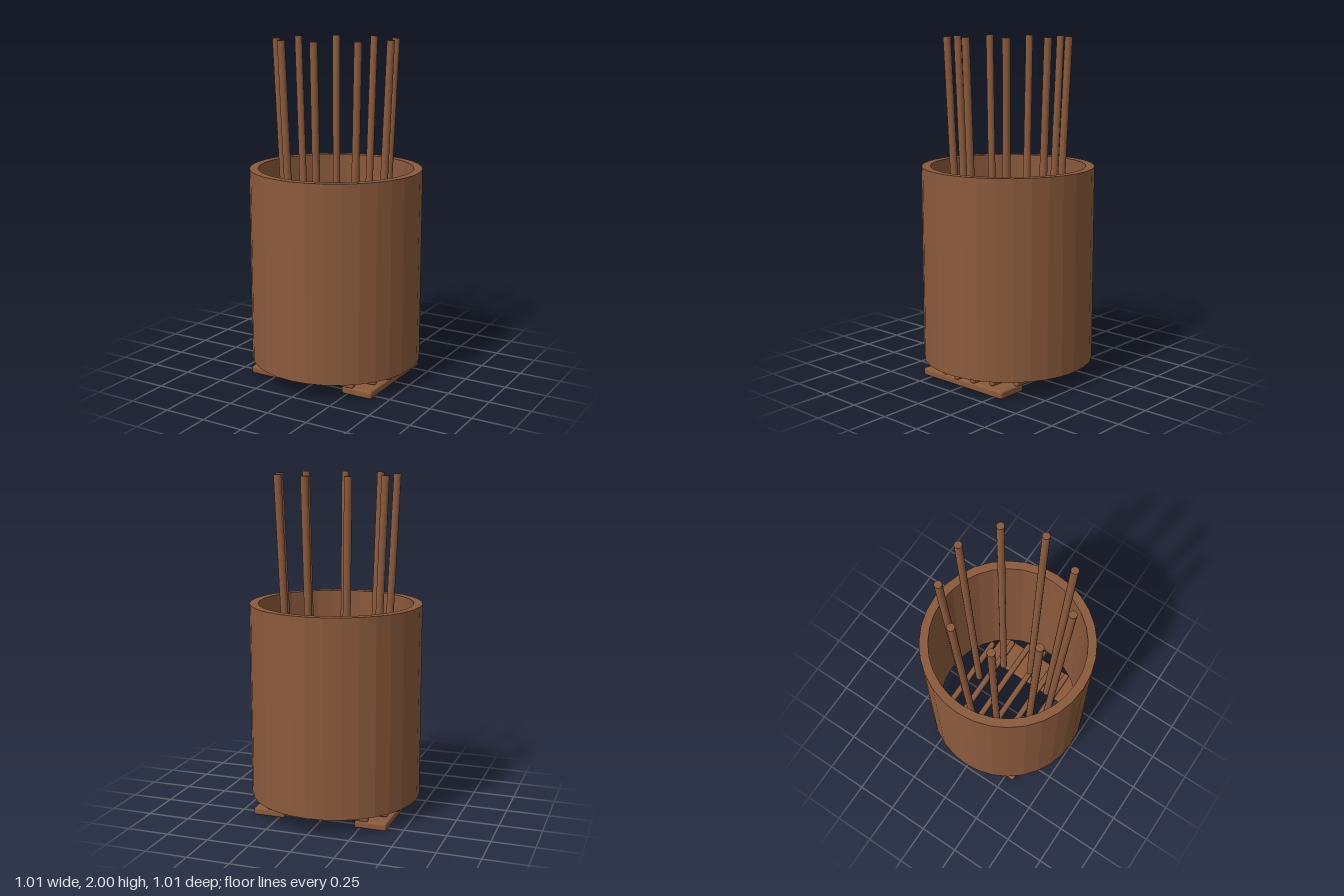
import * as THREE from 'three';
import { RoundedBoxGeometry } from 'three/addons/geometries/RoundedBoxGeometry.js';

export function createModel() {
  const model = new THREE.Group();
  model.name = 'stickTub';
  const wood = new THREE.MeshStandardMaterial({ color: 0x8b5a3c, flatShading: true });
  wood.name = 'brown wood';

  const add = (name, geometry, x = 0, y = 0, z = 0) => {
    const mesh = new THREE.Mesh(geometry, wood);
    mesh.name = name;
    mesh.position.set(x, y, z);
    model.add(mesh);
    return mesh;
  };

  // Open tube wall: outer face, rim, inner face and lower rim
  const outer = 0.506, inner = 0.455, bottom = 0.1, top = 1.254;
  const profile = [
    [outer, bottom], [outer, top], [inner, top], [inner, bottom], [outer, bottom],
  ].map(([r, y]) => new THREE.Vector2(r, y));
  add('tubWall', new THREE.LatheGeometry(profile, 32));

  // Floor slats, cut to the width of the round opening
  for (let i = -3; i <= 3; i++) {
    const z = i * 0.1095;
    const length = 2 * Math.sqrt(inner * inner - z * z) - (i ? 0.006 : 0);
    add('floorSlat', new RoundedBoxGeometry(length, 0.046, 0.036, 3, 0.015), 0, 0.077, z);
  }

  // Two flat feet
  for (const side of [-1, 1]) {
    add('foot', new RoundedBoxGeometry(0.192, 0.046, 0.622, 3, 0.012), side * 0.313, 0.023, 0);
  }

  // Ring of sticks leaning outwards
  const up = new THREE.Vector3(0, 1, 0);
  for (let i = 0; i < 9; i++) {
    const a = (i / 9) * Math.PI * 2;
    const foot = new THREE.Vector3(Math.cos(a) * 0.27, 0.1, Math.sin(a) * 0.27);
    const tip = new THREE.Vector3(Math.cos(a) * 0.351, 1.999, Math.sin(a) * 0.351);
    const axis = tip.clone().sub(foot);
    const stick = add('stick', new THREE.CylinderGeometry(0.022, 0.022, axis.length(), 16));
    stick.position.copy(foot).add(tip).multiplyScalar(0.5);
    stick.quaternion.setFromUnitVectors(up, axis.normalize());
  }

  return model;
}
